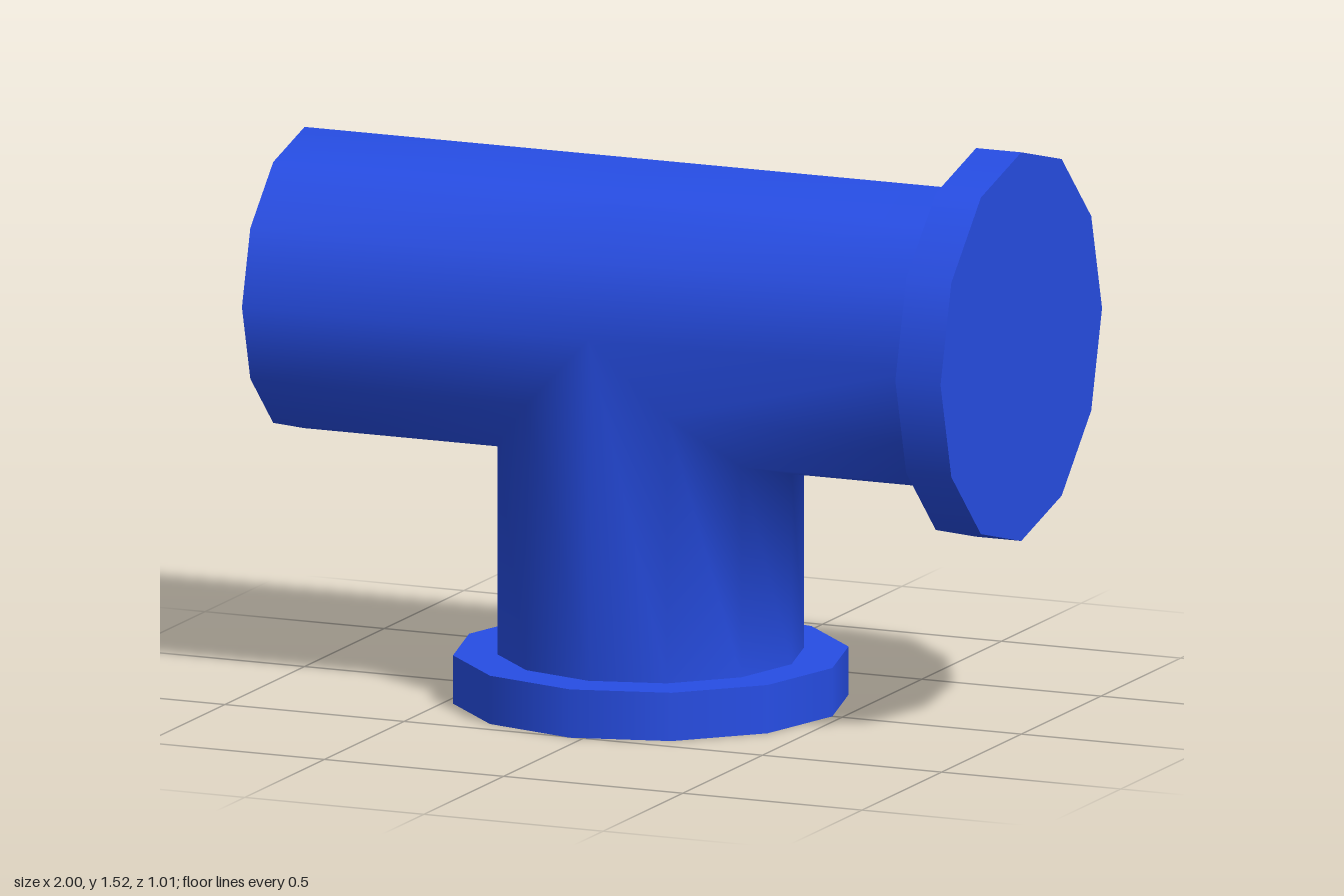
import * as THREE from 'three';
import { mergeVertices } from 'three/addons/utils/BufferGeometryUtils.js';

const SIDES = 12;
const R = 0.393;          // pipe radius
const FLANGE_R = 0.507;
const FLANGE_T = 0.126;
const CX = -0.034;        // branch axis
const CY = 1.015;         // main pipe axis

// Joins pairs of rings; start and end give a point for an angle.
function loft(out, start, end) {
  for (let i = 0; i < SIDES; i++) {
    const a = (i / SIDES) * Math.PI * 2;
    const b = (((i + 1) % SIDES) / SIDES) * Math.PI * 2;
    out.push(...start(a), ...start(b), ...end(a));
    out.push(...start(b), ...end(b), ...end(a));
  }
}

// Open tee: the pipe halves and the branch meet along a mitred saddle line.
function teeGeometry() {
  const ring = (xAt) => (a) => [xAt(a), CY + R * Math.cos(a), R * Math.sin(a)];
  const stem = (yAt) => (a) => [CX + R * Math.sin(a), yAt(a), R * Math.cos(a)];
  const gap = (a) => R * Math.max(0, -Math.cos(a));
  const points = [];
  loft(points, ring(() => -1), ring((a) => CX - gap(a)));
  loft(points, ring((a) => CX + gap(a)), ring(() => 1 - FLANGE_T));
  loft(points, stem(() => FLANGE_T), stem((a) => CY - R * Math.abs(Math.sin(a))));
  const raw = new THREE.BufferGeometry();
  raw.setAttribute('position', new THREE.Float32BufferAttribute(points, 3));
  const geometry = mergeVertices(raw, 1e-4);
  geometry.computeVertexNormals();
  return geometry;
}

export function createModel() {
  const group = new THREE.Group();
  group.name = 'pipeTee';
  const material = new THREE.MeshStandardMaterial({ color: 0x264de4, side: THREE.DoubleSide });

  const add = (name, geometry) => {
    const mesh = new THREE.Mesh(geometry, material);
    mesh.name = name;
    group.add(mesh);
    return mesh;
  };

  add('teePipe', teeGeometry());

  // Closed flanges on the branch foot and the left end
  const flange = new THREE.CylinderGeometry(FLANGE_R, FLANGE_R, FLANGE_T, SIDES);
  add('bottomFlange', flange).position.set(CX, FLANGE_T / 2, 0);
  const side = add('sideFlange', flange);
  side.rotation.z = -Math.PI / 2;
  side.position.set(1 - FLANGE_T / 2, 1.011, 0);

  return group;
}
